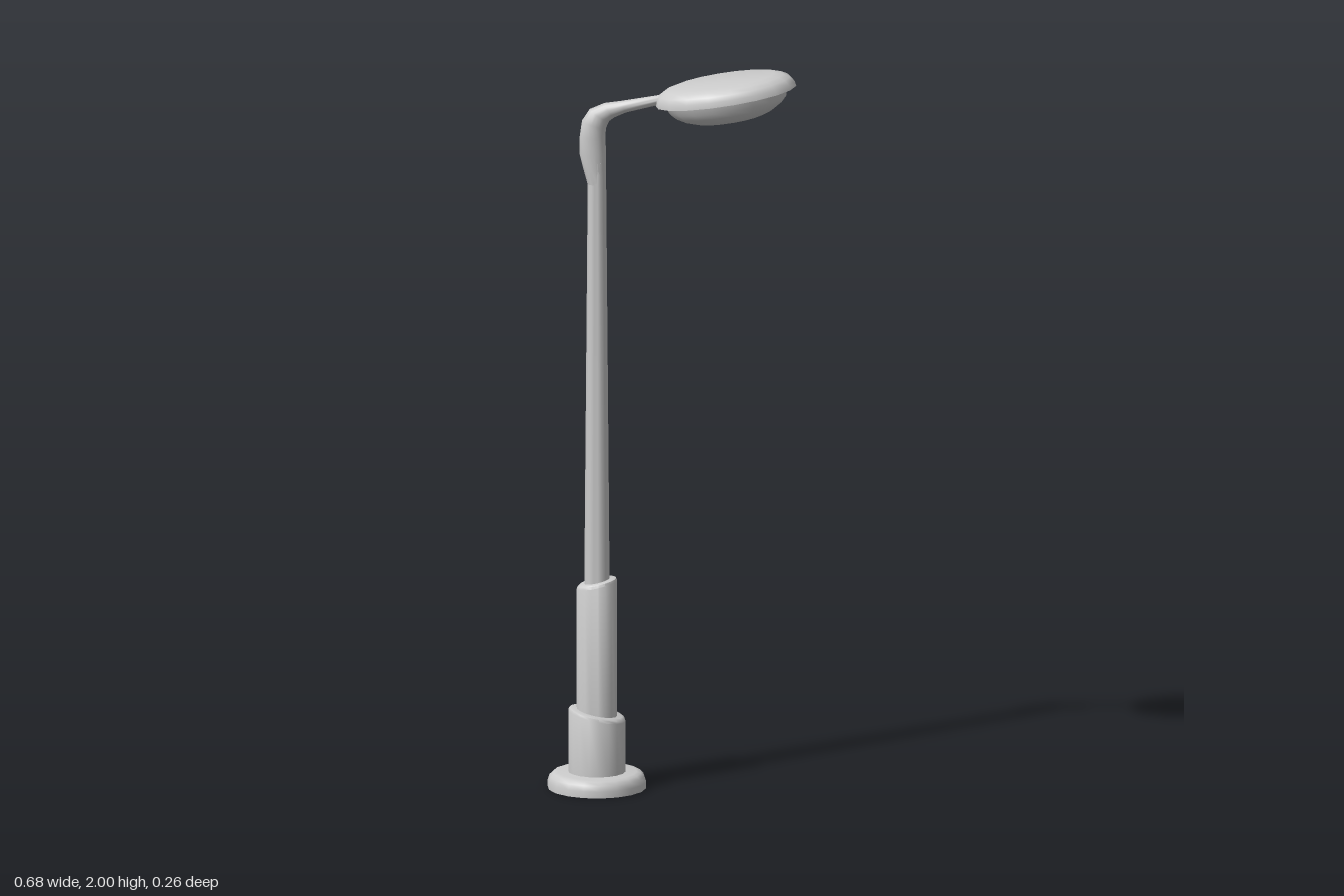
import * as THREE from 'three';
import { toCreasedNormals, mergeVertices } from 'three/addons/utils/BufferGeometryUtils.js';

const SIDES = 18;
const POLE_X = -0.204;
const material = new THREE.MeshStandardMaterial({ color: 0xcccccc });

function addMesh(parent, name, geometry) {
  const mesh = new THREE.Mesh(geometry, material);
  mesh.name = name;
  parent.add(mesh);
  return mesh;
}

// Turned shape from [radius, y] pairs, listed bottom to top.
// Points above slantFrom are tilted by slope along x.
function turned(points, slope = 0, slantFrom = 0) {
  const profile = points.map(([r, y]) => new THREE.Vector2(r, y));
  const geometry = new THREE.LatheGeometry(profile, SIDES, Math.PI / 2);
  const p = geometry.attributes.position;
  for (let i = 0; i < p.count; i++) {
    if (p.getY(i) > slantFrom) p.setY(i, p.getY(i) + slope * p.getX(i));
  }
  return toCreasedNormals(geometry, 0.7);
}

// Tube through sections of [x, y, lean, half width in plane, half width in z].
function loft(sections) {
  const positions = [], indices = [];
  sections.forEach(([x, y, lean, h, w], i) => {
    for (let j = 0; j < SIDES; j++) {
      const t = (j / SIDES) * Math.PI * 2;
      positions.push(
        x - Math.cos(lean) * Math.cos(t) * h,
        y + Math.sin(lean) * Math.cos(t) * h,
        Math.sin(t) * w
      );
      if (i === sections.length - 1) continue;
      const k = (j + 1) % SIDES;
      const a = i * SIDES + j, b = i * SIDES + k;
      indices.push(a, b, a + SIDES, b, b + SIDES, a + SIDES);
    }
  });
  const geometry = new THREE.BufferGeometry();
  geometry.setAttribute('position', new THREE.Float32BufferAttribute(positions, 3));
  geometry.setIndex(indices);
  const merged = mergeVertices(geometry);
  merged.computeVertexNormals();
  return toCreasedNormals(merged, 0.8);
}

export function createModel() {
  const model = new THREE.Group();
  model.name = 'streetLamp';

  // Stepped post: foot, two slant-cut sleeves and a tapered pole
  const post = new THREE.Group();
  post.name = 'post';
  post.position.x = POLE_X;
  model.add(post);
  addMesh(post, 'footPlate', turned([
    [0, 0], [0.134, 0], [0.134, 0.018], [0.129, 0.033], [0.12, 0.042], [0.108, 0.045], [0, 0.045],
  ]));
  addMesh(post, 'lowerSleeve', turned([
    [0.078, 0.04], [0.078, 0.2], [0.075, 0.207], [0.069, 0.21], [0.03, 0.21],
  ], -0.2, 0.1));
  addMesh(post, 'upperSleeve', turned([
    [0.055, 0.15], [0.055, 0.564], [0.052, 0.571], [0.047, 0.574], [0.02, 0.574],
  ], 0.23, 0.4));
  addMesh(post, 'pole', turned([[0.035, 0.5], [0.025, 1.7], [0.024, 1.74], [0, 1.74]]));

  // Arm swelling behind the pole, then bending towards the head
  addMesh(model, 'arm', loft([
    [-0.205, 1.68, 0, 0.025, 0.025],
    [-0.21, 1.72, 0, 0.031, 0.026],
    [-0.215, 1.76, 0, 0.036, 0.026],
    [-0.216, 1.81, 0, 0.035, 0.026],
    [-0.212, 1.845, 0.3, 0.034, 0.026],
    [-0.197, 1.871, 0.55, 0.031, 0.025],
    [-0.17, 1.885, 0.95, 0.024, 0.021],
    [-0.13, 1.896, 1.2, 0.017, 0.017],
    [-0.03, 1.918, 1.35, 0.013, 0.014],
    [-0.03, 1.918, 1.35, 0, 0],
  ]));

  // Tilted oval head: unit-radius profiles stretched into an ellipse
  const head = new THREE.Group();
  head.name = 'lampHead';
  head.position.set(0.147, 1.932, 0);
  head.rotation.z = 0.17;
  model.add(head);
  const oval = (points) => {
    const geometry = turned(points.map(([r, y]) => [r * 0.16, y]));
    geometry.scale(0.194 / 0.16, 1, 0.13 / 0.16);
    return geometry;
  };
  addMesh(head, 'shade', oval([
    [0, 0], [1, 0], [0.99, 0.014], [0.94, 0.028], [0.85, 0.038], [0.73, 0.044], [0, 0.044],
  ]));
  addMesh(head, 'lens', oval([
    [0, -0.066], [0.48, -0.063], [0.63, -0.053], [0.76, -0.038], [0.84, -0.022], [0.87, 0.002],
  ]));

  return model;
}
